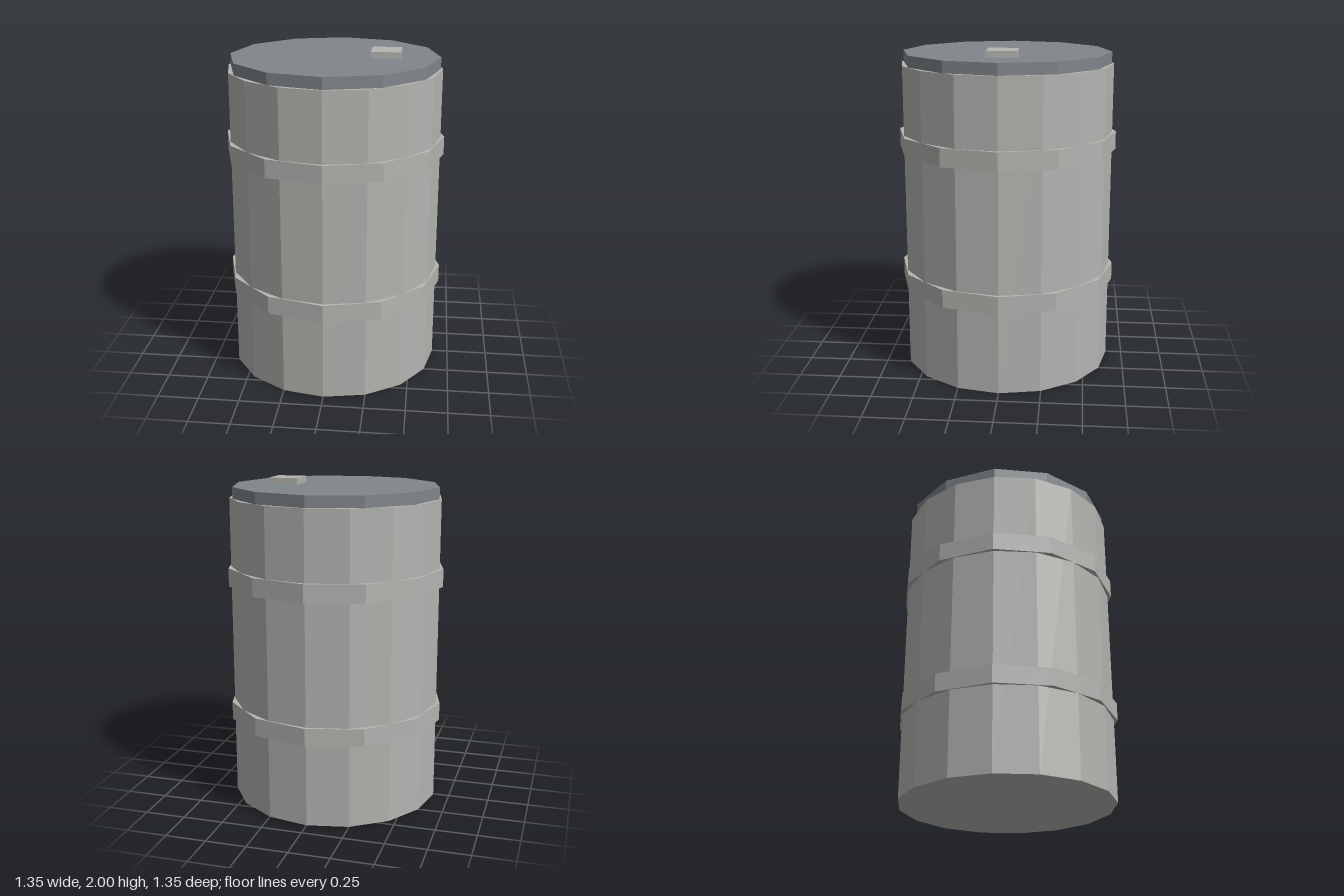
import * as THREE from 'three';

export function createModel() {
  const group = new THREE.Group();
  group.name = 'drum';

  const paleMetal = new THREE.MeshStandardMaterial({ color: 0xb4b4b1, flatShading: true });
  paleMetal.name = 'pale metal';
  const slateMetal = new THREE.MeshStandardMaterial({ color: 0x80868a, flatShading: true });
  slateMetal.name = 'slate metal';

  const add = (name, geometry, material, x, y, z) => {
    const mesh = new THREE.Mesh(geometry, material);
    mesh.name = name;
    mesh.position.set(x, y, z);
    group.add(mesh);
  };

  // Faceted prism standing between two heights
  const prism = (name, radius, sides, bottom, top, material) =>
    add(name, new THREE.CylinderGeometry(radius, radius, top - bottom, sides), material,
      0, (bottom + top) / 2, 0);

  // Sixteen-sided barrel wall
  prism('body', 0.65, 16, 0, 1.89, paleMetal);

  // Twelve-sided reinforcing hoops
  prism('lowerHoop', 0.673, 12, 0.51, 0.62, paleMetal);
  prism('upperHoop', 0.673, 12, 1.362, 1.473, paleMetal);

  // Lid and square filler cap, offset to the model's left
  prism('lid', 0.637, 12, 1.89, 1.96, slateMetal);
  add('fillerCap', new THREE.BoxGeometry(0.178, 0.04, 0.178), paleMetal, 0.312, 1.98, 0);

  return group;
}
